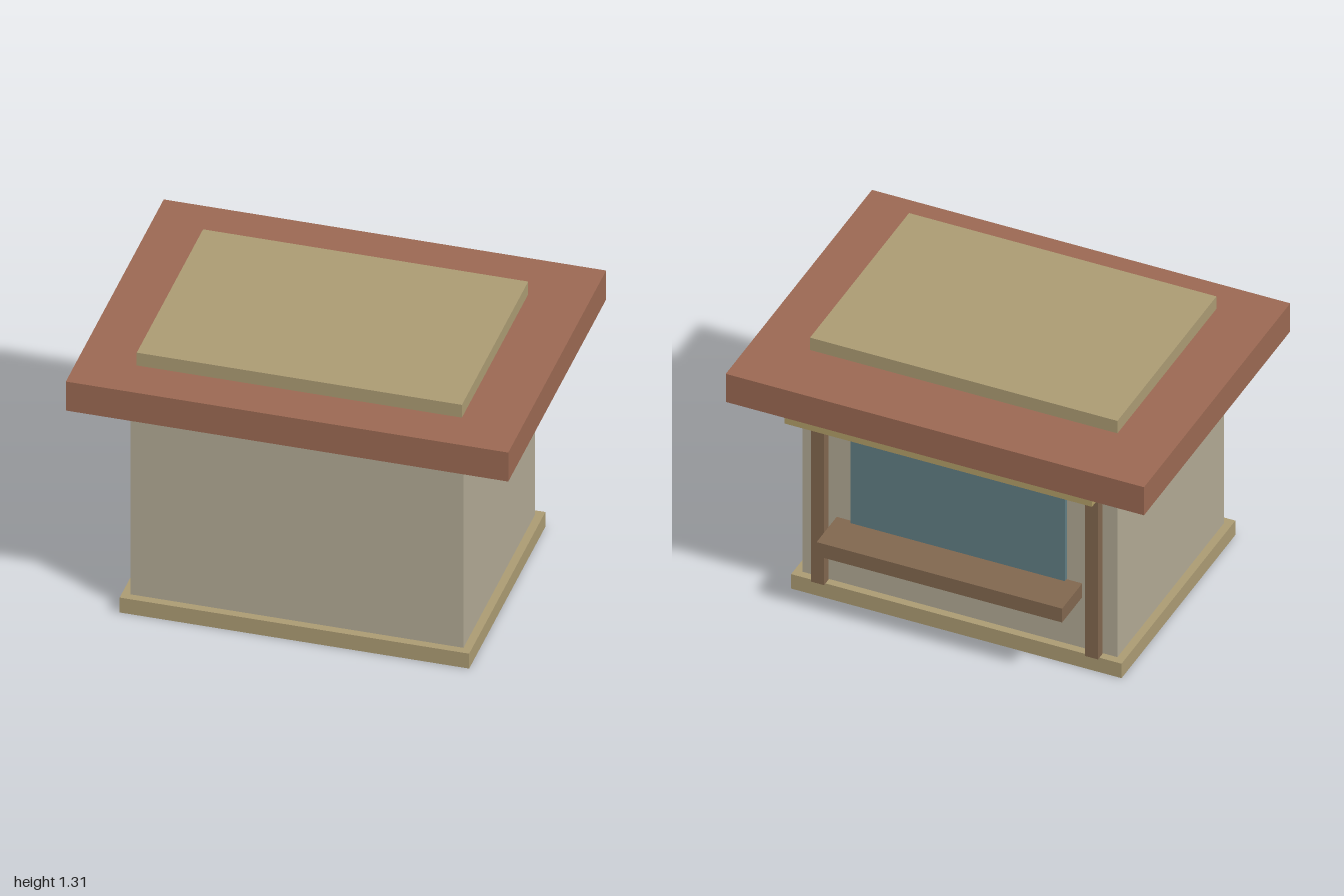
import * as THREE from 'three';

const flat = (name, color) => {
  const m = new THREE.MeshStandardMaterial({ color });
  m.name = name;
  return m;
};

export function createModel() {
  const model = new THREE.Group();
  model.name = 'kiosk';

  const wall = flat('wall plaster', 0xb0a893);
  const roofing = flat('roof red', 0x9a6852);
  const sand = flat('sand trim', 0xaa9a72);
  const ochre = flat('ochre trim', 0xb09c66);
  const wood = flat('brown wood', 0x80664e);
  const glass = flat('blue glass', 0x607c82);

  // Box given by its [min, max] range on each axis
  const box = (name, material, [x0, x1], [y0, y1], [z0, z1]) => {
    const mesh = new THREE.Mesh(new THREE.BoxGeometry(x1 - x0, y1 - y0, z1 - z0), material);
    mesh.position.set((x0 + x1) / 2, (y0 + y1) / 2, (z0 + z1) / 2);
    mesh.name = name;
    model.add(mesh);
  };

  // Hut and its roof slabs, which float with narrow gaps
  box('base', sand, [-0.79, 0.79], [0, 0.077], [-0.532, 0.64]);
  box('walls', wall, [-0.753, 0.753], [0.077, 1.057], [-0.495, 0.602]);
  box('roof', roofing, [-1, 1], [1.078, 1.228], [-0.753, 0.753]);
  box('roofCap', sand, [-0.735, 0.735], [1.242, 1.308], [-0.456, 0.564]);

  // Serving side at the back
  box('window', glass, [-0.512, 0.512], [0.42, 0.87], [-0.517, -0.49]);
  box('counter', wood, [-0.587, 0.587], [0.35, 0.424], [-0.707, -0.5]);
  box('awningRail', ochre, [-0.735, 0.735], [1.02, 1.078], [-0.718, -0.653]);
  for (const side of [-1, 1]) {
    const x = side * 0.655;
    box(side > 0 ? 'leftPost' : 'rightPost', wood, [x - 0.031, x + 0.031], [0.08, 1.02], [-0.55, -0.503]);
  }

  return model;
}
